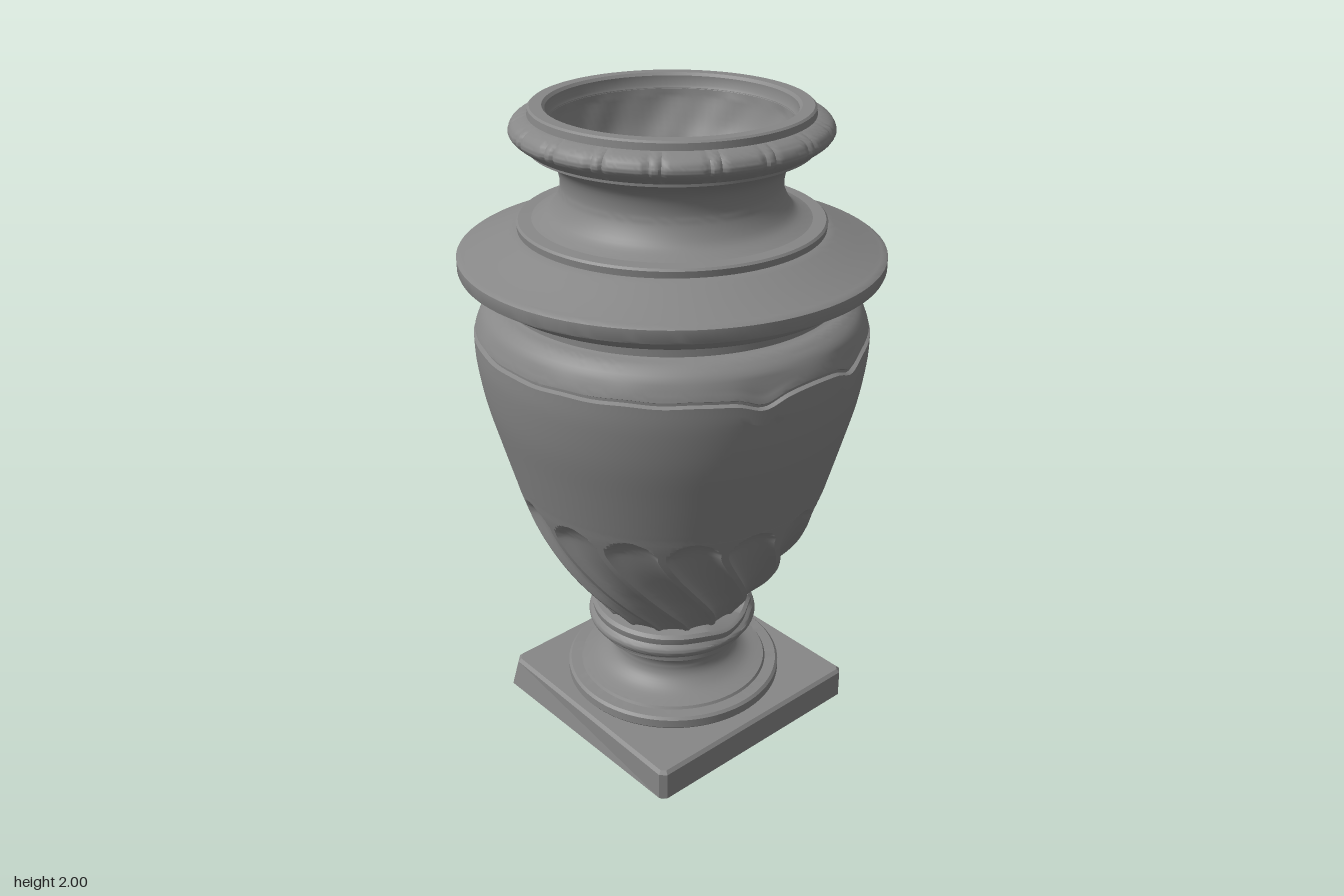
import * as THREE from 'three';
import { mergeVertices, toCreasedNormals } from 'three/addons/utils/BufferGeometryUtils.js';

// Dark weathered stone
const material = new THREE.MeshStandardMaterial({ color: 0x878787, side: THREE.DoubleSide });

// Turned part from [radius, height] pairs; carve(p) may move each vertex { r, y, a }.
function turned(name, profile, segments = 96, carve = null, crease = 0.6) {
  let geo = new THREE.LatheGeometry(profile.map(([r, y]) => new THREE.Vector2(r, y)), segments);
  geo.deleteAttribute('uv');
  geo.deleteAttribute('normal');
  if (carve) {
    const pos = geo.attributes.position;
    for (let i = 0; i < pos.count; i++) {
      const x = pos.getX(i), z = pos.getZ(i);
      const p = { r: Math.hypot(x, z), y: pos.getY(i), a: Math.atan2(x, z) };
      carve(p);
      pos.setXYZ(i, p.r * Math.sin(p.a), p.y, p.r * Math.cos(p.a));
    }
  }
  geo = toCreasedNormals(mergeVertices(geo, 1e-5), crease);
  const mesh = new THREE.Mesh(geo, material);
  mesh.name = name;
  return mesh;
}

// Smooth run of profile points through a few control points.
function smooth(points, n) {
  return new THREE.SplineCurve(points.map(([r, y]) => new THREE.Vector2(r, y)))
    .getPoints(n).map(p => [p.x, p.y]);
}

// Signed offset of an angle from the middle of its nearest repeat.
function repeatOffset(a, count, shift = 0) {
  const step = Math.PI * 2 / count, t = (a - shift) / step;
  return (t - Math.round(t)) * step;
}

// Soft bump of height 1 around a centre.
const bump = (v, centre, width) => Math.exp(-(((v - centre) / width) ** 2));

// Swirling concave flutes with round heads, and a worn crack under the shoulder.
function carveBody(p) {
  const count = 16, headY = 0.785;
  if (p.y < 0.88) {
    const u = repeatOffset(p.a, count, Math.PI / count) / (Math.PI / count * 0.875);
    const v = Math.max(0, p.y - headY) / 0.08;
    const foot = THREE.MathUtils.smoothstep(p.y, 0.39, 0.58);
    p.r -= (0.012 + 0.025 * foot) * Math.sqrt(Math.max(0, 1 - u * u - v * v));
    // the mesh columns swing round with the flutes
    p.a += 0.66 * Math.pow(THREE.MathUtils.clamp((0.8 - p.y) / 0.4, 0, 1), 1.25);
  }
  if (p.y > 1.3 && p.y < 1.4) {
    p.y -= 0.03 * (bump(p.a, 1.28, 0.1) + bump(p.a, 1.88, 0.1))
      + 0.003 * Math.sin(p.a * 13) * Math.sin(p.a * 7);
  }
}

// Pairs of shallow grooves that leave tied bands around the rim moulding.
function carveRim(p) {
  if (p.y < 1.9 || p.y > 1.975 || p.r < 0.41) return;
  const off = Math.abs(repeatOffset(p.a, 18, 0.05));
  p.r -= 0.008 * bump(off, 0.04, 0.014);
}

// Broken lump on the upper edge of the collar.
function chipCollar(p) {
  if (p.y < 0.35 || p.r < 0.22) return;
  p.y += 0.025 * bump(p.a, 2.14, 0.14) - 0.015 * bump(p.a, 1.6, 0.25);
}

// Square plinth with chipped corners, two of them broken at the top or bottom.
function plinth() {
  const h = 0.39;
  const chips = [0.012, 0.02, 0.02, 0.012];
  const signs = [[1, 1], [-1, 1], [-1, -1], [1, -1]];
  const points = [];
  signs.forEach(([sx, sy], i) => {
    const c = chips[i];
    const pair = [[sx * h, sy * (h - c)], [sx * (h - c), sy * h]];
    if (i % 2) pair.reverse();
    points.push(...pair.map(([x, y]) => new THREE.Vector2(x, y)));
  });
  const geo = new THREE.ExtrudeGeometry(new THREE.Shape(points), {
    depth: 0.09, bevelEnabled: true, bevelThickness: 0.01, bevelSize: 0.01, bevelSegments: 1,
  });
  geo.rotateX(-Math.PI / 2).translate(0, 0.01, 0);
  const pos = geo.attributes.position;
  for (let i = 0; i < pos.count; i++) {
    const x = pos.getX(i), y = pos.getY(i), z = pos.getZ(i);
    const brokenTop = x < 0 && z > 0 && y > 0.08;
    const brokenBottom = x < 0 && z < 0 && y < 0.03;
    if (brokenTop || brokenBottom) pos.setXYZ(i, x * 0.96, y, z * 0.96);
  }
  geo.computeVertexNormals();
  const mesh = new THREE.Mesh(geo, material);
  mesh.name = 'plinth';
  mesh.position.set(0.005, 0, -0.005);
  return mesh;
}

export function createModel() {
  const urn = new THREE.Group();
  urn.name = 'urn';
  urn.add(plinth());

  // Stepped disc and hollow stem
  const foot = turned('foot', [
    [0, 0.105], [0.34, 0.105], [0.348, 0.115], [0.348, 0.142], [0.34, 0.15], [0.305, 0.152],
    ...smooth([[0.3, 0.16], [0.245, 0.175], [0.208, 0.205], [0.198, 0.24], [0.208, 0.27], [0.232, 0.285]], 20),
    [0.238, 0.29], [0.238, 0.305],
  ]);
  foot.position.set(0.004, 0, -0.002);
  urn.add(foot);

  // Rounded ring and fillet below the bowl
  urn.add(turned('collar', [
    [0.2, 0.285], [0.236, 0.288], [0.24, 0.306],
    ...smooth([[0.25, 0.312], [0.268, 0.33], [0.27, 0.348], [0.257, 0.364]], 12),
    [0.258, 0.368], [0.26, 0.385], [0.25, 0.395], [0.2, 0.4],
  ], 96, chipCollar));

  // Fluted bowl up to the shoulder
  urn.add(turned('body', [
    ...smooth([[0.222, 0.385], [0.262, 0.44], [0.325, 0.52], [0.382, 0.61], [0.435, 0.72],
      [0.473, 0.83], [0.487, 0.88]], 64),
    ...smooth([[0.49, 0.89], [0.526, 1.02], [0.56, 1.15], [0.579, 1.27], [0.582, 1.345]], 18),
    [0.57, 1.35], [0.57, 1.358], [0.577, 1.362],
    ...smooth([[0.575, 1.37], [0.555, 1.415], [0.524, 1.442], [0.5, 1.45]], 12),
    [0.492, 1.453], [0.492, 1.475],
  ], 256, carveBody, 0.7));

  // Wide projecting cornice with a sloping top
  urn.add(turned('cornice', [
    [0.47, 1.458], [0.502, 1.462], [0.502, 1.48],
    ...smooth([[0.51, 1.484], [0.548, 1.5], [0.572, 1.522], [0.59, 1.54]], 10),
    [0.614, 1.543], [0.617, 1.55], [0.617, 1.582], [0.61, 1.587],
    ...smooth([[0.6, 1.59], [0.55, 1.61], [0.5, 1.631], [0.455, 1.65]], 10),
    [0.442, 1.653], [0.444, 1.672], [0.438, 1.678], [0.4, 1.68],
  ], 128));

  // Waisted neck
  urn.add(turned('neck', [
    [0.41, 1.675],
    ...smooth([[0.39, 1.682], [0.35, 1.705], [0.322, 1.75], [0.316, 1.79], [0.328, 1.835],
      [0.362, 1.868], [0.395, 1.88]], 24),
    [0.402, 1.883], [0.402, 1.9],
  ]));

  // Banded rim, rolling over into the mouth
  urn.add(turned('rim', [
    [0.39, 1.89], [0.41, 1.893],
    ...smooth([[0.424, 1.903], [0.446, 1.92], [0.453, 1.937], [0.44, 1.96], [0.412, 1.974]], 16),
    [0.4, 1.976], [0.398, 1.995], [0.392, 2], [0.358, 2], [0.35, 1.992], [0.349, 1.965],
    [0.342, 1.955],
  ], 360, carveRim));

  // Hollow mouth with a flat floor, slightly rough inside
  urn.add(turned('mouthInterior', [
    ...smooth([[0.343, 1.958], [0.337, 1.92], [0.318, 1.86], [0.292, 1.81], [0.28, 1.79]], 14),
    [0, 1.79],
  ], 96, p => {
    if (p.y < 1.94 && p.r > 0.1) p.r += 0.004 * Math.sin(p.a * 11 + p.y * 30) * Math.sin(p.a * 5);
  }));

  return urn;
}
